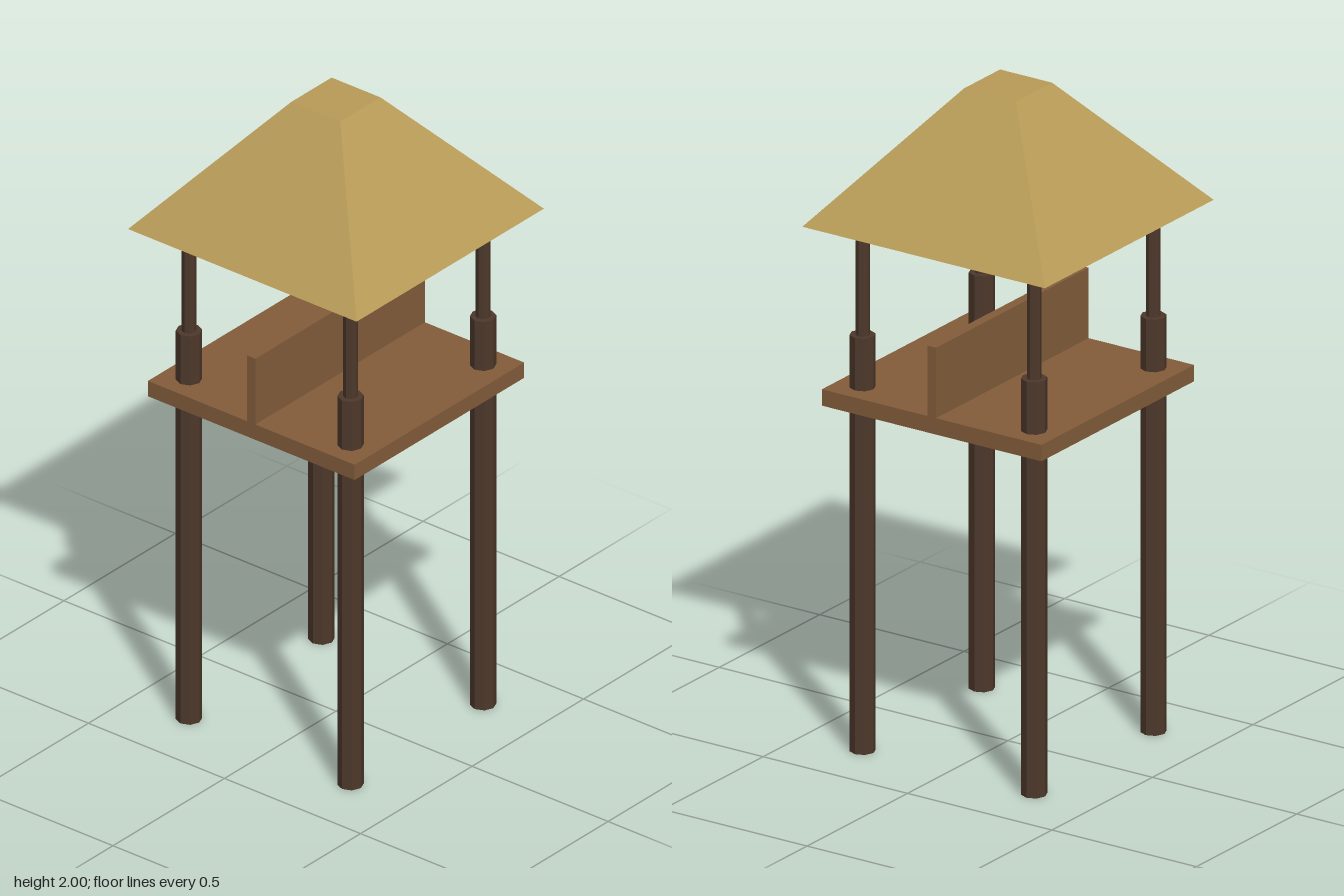
import * as THREE from 'three';

export function createModel() {
  const model = new THREE.Group();
  model.name = 'watchtower';

  const material = (name, color) => {
    const m = new THREE.MeshStandardMaterial({ color });
    m.name = name;
    return m;
  };
  const thatch = material('thatch', 0xb89b57);
  const plank = material('plank', 0x835d3b);
  const log = material('log', 0x4d382b);

  const add = (name, geometry, mat, x, y, z) => {
    const mesh = new THREE.Mesh(geometry, mat);
    mesh.name = name;
    mesh.position.set(x, y, z);
    model.add(mesh);
    return mesh;
  };

  // Eight-sided log with flat facets, standing from y0 to y1
  const logGeometry = (radius, y0, y1) => {
    const g = new THREE.CylinderGeometry(radius, radius, y1 - y0, 8).toNonIndexed();
    g.computeVertexNormals();
    return g.translate(0, (y0 + y1) / 2, 0);
  };

  // Four thick legs, each carrying a thinner roof pole
  const leg = logGeometry(0.038, 0, 1.27);
  const pole = logGeometry(0.021, 1.27, 1.615);
  for (const x of [-0.297, 0.297]) {
    for (const z of [-0.297, 0.297]) {
      add('leg', leg, log, x, 0, z);
      add('roofPole', pole, log, x, 0, z);
    }
  }

  // Platform and the upright board across its middle
  add('platform', new THREE.BoxGeometry(0.76, 0.05, 0.76), plank, 0, 1.085, 0);
  add('dividerBoard', new THREE.BoxGeometry(0.76, 0.215, 0.03), plank, 0, 1.2175, 0);

  // Thatched roof: a truncated square pyramid, closed underneath
  const roof = new THREE.CylinderGeometry(0.09 * Math.SQRT2, 0.42 * Math.SQRT2, 0.39, 4)
    .rotateY(Math.PI / 4).toNonIndexed();
  roof.computeVertexNormals();
  add('roof', roof, thatch, 0, 1.805, 0);

  return model;
}
